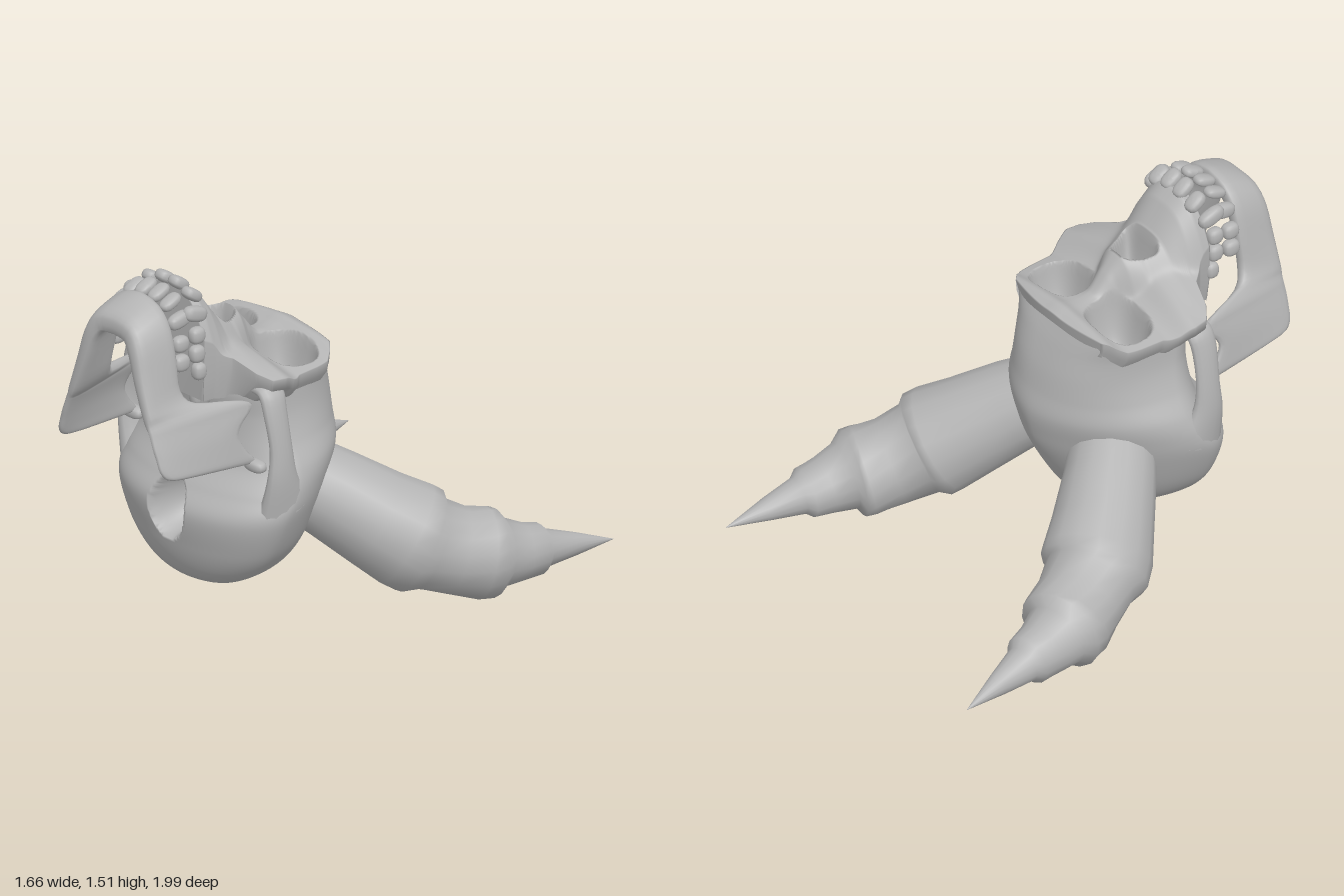
import * as THREE from 'three';

const bone = new THREE.MeshStandardMaterial({ color: 0xb4b4b4, side: THREE.DoubleSide });
bone.name = 'bone grey';

const { smoothstep, lerp } = THREE.MathUtils;

// Surface through rows of [x, y, z] points; closed joins the last column to the first
function skin(rows, closed) {
  const n = rows[0].length, index = [], cols = closed ? n : n - 1;
  for (let i = 0; i < rows.length - 1; i++) {
    for (let j = 0; j < cols; j++) {
      const a = i * n + j, b = i * n + (j + 1) % n;
      index.push(a, b, a + n, b, b + n, a + n);
    }
  }
  const g = new THREE.BufferGeometry();
  g.setAttribute('position', new THREE.Float32BufferAttribute(rows.flat(2), 3));
  g.setIndex(index);
  g.computeVertexNormals();
  return g;
}

// Smooth in-between rows for a short table of numbers
function refine(table, steps) {
  const out = [], at = i => table[Math.max(0, Math.min(table.length - 1, i))];
  for (let i = 0; i < table.length - 1; i++) {
    for (let s = 0; s < steps; s++) {
      const t = s / steps;
      out.push(table[i].map((p, k) => {
        const o = at(i - 1)[k], q = at(i + 1)[k], r = at(i + 2)[k];
        return p + 0.5 * t * (q - o + t * (2 * o - 5 * p + 4 * q - r + t * (3 * (p - q) + r - o)));
      }));
    }
  }
  out.push(table[table.length - 1]);
  return out;
}

// Linear lookup in a table of [key, value]
function lookup(table, k) {
  let i = 0;
  while (i < table.length - 2 && k > table[i + 1][0]) i++;
  const [a, b] = [table[i], table[i + 1]];
  return lerp(a[1], b[1], Math.min(1, Math.max(0, (k - a[0]) / (b[0] - a[0]))));
}

const ring = (n, f) => Array.from({ length: n }, (_, j) => f(j / n * Math.PI * 2));
const spow = (v, e) => Math.sign(v) * Math.abs(v) ** e;
// Bowl with a crisp rim at r = 1
const bowl = r => Math.max(0, 1 - r ** 4);

// Braincase: sections along y as [y, back z, base z, half width, roundness of the back]
function craniumGeometry() {
  const sections = refine([
    [0.14, 0.45, 0.45, 0, 2], [0.155, 0.31, 0.54, 0.13, 2], [0.19, 0.19, 0.6, 0.22, 2],
    [0.25, 0.10, 0.64, 0.31, 1.9], [0.35, 0.03, 0.67, 0.39, 1.75], [0.5, -0.05, 0.69, 0.452, 1.65],
    [0.6, -0.083, 0.635, 0.46, 1.65], [0.7, -0.095, 0.565, 0.435, 1.8], [0.8, -0.072, 0.55, 0.38, 2.1],
    [0.9, -0.045, 0.55, 0.345, 2.5], [1.0, -0.005, 0.56, 0.333, 3.1], [1.07, 0.03, 0.54, 0.333, 4],
  ], 12);
  return skin(sections.map(([y, z0, z1, w, e]) => ring(150, t => {
    const a = t - 0.6 * Math.sin(t), s = Math.sin(a), c = Math.cos(a);
    const mid = lerp(z0, z1, 0.68);
    const x = w * (c < 0 ? spow(s, 2 / e) : s);
    const z = mid + (c < 0 ? (mid - z0) * spow(c, 2 / e) : (z1 - mid) * c);
    // opening for the spine
    return [x, y, c > 0 ? z - 0.2 * bowl(Math.hypot(x / 0.1, (y - 0.49) / 0.127)) : z];
  })), true);
}

// Face: a relief over x and z with eye sockets and nose opening, wrapped round its edge
function faceGeometry() {
  const halfWidth = [[0.02, 0.27], [0.05, 0.315], [0.1, 0.345], [0.2, 0.355], [0.3, 0.36], [0.36, 0.395],
    [0.42, 0.415], [0.48, 0.405], [0.52, 0.35], [0.55, 0.25], [0.6, 0.21], [0.66, 0.195]];
  const midline = [[0.16, 1.06], [0.22, 1.11], [0.28, 1.19], [0.345, 1.265], [0.42, 1.27],
    [0.5, 1.31], [0.57, 1.41], [0.62, 1.455], [0.66, 1.45]];
  const muzzleWidth = [[0.2, 0.07], [0.3, 0.1], [0.4, 0.18], [0.5, 0.215], [0.66, 0.212]];
  const height = (x, z) => {
    const ax = Math.abs(x);
    const plate = 1.11 - 0.35 * x * x + 0.025 * Math.exp(-(((z - 0.07) / 0.04) ** 2))
      + 0.055 * smoothstep(z, 0.31, 0.43) + 0.2 * smoothstep(z, 0.36, 0.5) * Math.max(0, 0.4 - ax);
    const muzzle = lookup(midline, z) - 0.24 * (ax / lookup(muzzleWidth, z)) ** 2.8;
    const d = plate - muzzle;
    const y = (plate + muzzle + Math.sqrt(d * d + 0.0012)) / 2;
    const eye = (Math.abs((ax - 0.178) / 0.135) ** 2.5 + Math.abs((z - 0.215) / 0.113) ** 2.5) ** 0.4;
    const noseWidth = 0.05 + Math.max(0, z - 0.35) * 0.45;
    const nose = ((ax / noseWidth) ** 4 + Math.abs((z - 0.42) / 0.073) ** 4) ** 0.25;
    return y - 0.22 * bowl(eye) - 0.2 * bowl(nose);
  };
  const rows = [], nz = 100, nx = 130;
  for (let i = 0; i <= nz; i++) {
    const z = 0.02 + 0.64 * i / nz, w = lookup(halfWidth, z), m = smoothstep(z, 0.5, 0.57);
    // brow line sweeps back toward the temples
    const sweep = x => z + 0.5 * x * x * (1 - smoothstep(z, 0.02, 0.2));
    const edge = height(w, sweep(w)), low = lerp(edge - 0.12, 1.0, m);
    const inset = lerp(lerp(0.82, 0.74, smoothstep(z, 0.3, 0.42)), 0.9, m);
    const side = s => [[s * w * inset, low, sweep(w)], [s * w * 0.98, lerp(edge - 0.045, 1.1, m), sweep(w)]];
    const row = side(-1);
    for (let j = 0; j <= nx; j++) {
      const x = w * (2 * j / nx - 1);
      row.push([x, height(x, sweep(x)), sweep(x)]);
    }
    rows.push([...row, ...side(1).reverse()]);
  }
  // brow top and palate close the ends
  rows.unshift(rows[0].map(([x, , z]) => [x * 0.95, 0.97, z + 0.03]));
  rows.push(rows[nz + 1].map(([x, , z]) => [x * 0.95, 1.0, z - 0.01]));
  return skin(rows, false);
}

// Lower jaw: stations from chin to hinge, [lower x, y, z, upper x, y, z, half thickness]
function jawGeometry() {
  const half = refine([
    [0, 1.355, 0.97, 0, 1.43, 0.8, 0.048], [0.08, 1.345, 0.975, 0.08, 1.41, 0.8, 0.047],
    [0.125, 1.285, 0.985, 0.14, 1.345, 0.8, 0.04], [0.16, 1.18, 0.99, 0.175, 1.22, 0.8, 0.035],
    [0.2, 1.07, 0.992, 0.2, 1.1, 0.8, 0.03], [0.222, 1.015, 0.992, 0.24, 1.04, 0.75, 0.027],
    [0.235, 0.985, 0.992, 0.305, 1.015, 0.56, 0.021], [0.245, 0.96, 0.992, 0.32, 0.985, 0.52, 0.019],
    [0.26, 0.92, 0.992, 0.325, 0.93, 0.58, 0.018], [0.275, 0.88, 0.988, 0.33, 0.88, 0.6, 0.018],
    [0.292, 0.83, 0.983, 0.338, 0.82, 0.57, 0.018], [0.305, 0.795, 0.955, 0.343, 0.775, 0.53, 0.018],
    [0.31, 0.782, 0.9, 0.343, 0.755, 0.52, 0.011],
  ], 3);
  const flip = s => [-s[0], s[1], s[2], -s[3], s[4], s[5], s[6]];
  const path = [...half.slice(1).reverse().map(flip), ...half];
  const rows = path.map((s, i) => {
    const p = path[Math.max(0, i - 1)], q = path[Math.min(path.length - 1, i + 1)];
    const tx = q[0] + q[3] - p[0] - p[3], ty = q[1] + q[4] - p[1] - p[4], l = Math.hypot(tx, ty);
    const normal = [-ty / l, tx / l, 0];
    return ring(20, a => [0, 1, 2].map(k => (s[k] + s[k + 3]) / 2
      + (s[k + 3] - s[k]) / 2 * spow(Math.cos(a), 0.6) + normal[k] * s[6] * spow(Math.sin(a), 0.6)));
  });
  const cap = r => r.map(() => [0, 1, 2].map(k => r.reduce((t, p) => t + p[k], 0) / r.length));
  return skin([cap(rows[0]), ...rows, cap(rows[rows.length - 1])], true);
}

// Round tube through stations [x, y, z, radius], with a flattening factor across
function taperedTube(stations, sides, flat = 1) {
  const pts = stations.map(s => new THREE.Vector3(s[0], s[1], s[2]));
  return skin(stations.map((s, i) => {
    const t = pts[Math.min(pts.length - 1, i + 1)].clone().sub(pts[Math.max(0, i - 1)]).normalize();
    const u = new THREE.Vector3(0, 0, 1).addScaledVector(t, -t.z).normalize();
    const v = t.clone().cross(u);
    return ring(sides, a => pts[i].clone().addScaledVector(u, s[3] * Math.cos(a))
      .addScaledVector(v, s[3] * flat * Math.sin(a)).toArray());
  }), true);
}

// Rounded, slightly boxy tooth of unit size
function toothGeometry() {
  const g = new THREE.SphereGeometry(1, 14, 10), p = g.attributes.position;
  for (let i = 0; i < p.count; i++) {
    p.setXYZ(i, spow(p.getX(i), 0.75), spow(p.getY(i), 0.75), spow(p.getZ(i), 0.75));
  }
  g.computeVertexNormals();
  return g;
}

export function createModel() {
  const model = new THREE.Group();
  model.name = 'hornedSkull';
  const add = (name, geometry, parent = model) => {
    const mesh = new THREE.Mesh(geometry, bone);
    mesh.name = name;
    parent.add(mesh);
    return mesh;
  };
  add('cranium', craniumGeometry());
  add('face', faceGeometry());
  add('lowerJaw', jawGeometry());

  // Ringed horn, stepping in after each ridge
  const horn = taperedTube([
    [0.17, 0.57, 0.2, 0.165], [0.3, 0.475, 0.08, 0.183], [0.42, 0.365, -0.05, 0.203],
    [0.5, 0.295, -0.14, 0.22], [0.53, 0.265, -0.18, 0.22], [0.545, 0.25, -0.21, 0.19],
    [0.595, 0.205, -0.31, 0.178], [0.645, 0.177, -0.41, 0.184], [0.66, 0.172, -0.45, 0.18],
    [0.67, 0.167, -0.48, 0.14], [0.69, 0.15, -0.57, 0.117], [0.705, 0.142, -0.65, 0.105],
    [0.71, 0.138, -0.68, 0.078], [0.735, 0.12, -0.82, 0.047], [0.765, 0.095, -1, 0.001],
  ], 16);
  const arch = taperedTube(refine([
    [0.31, 1.05, 0.465, 0.05], [0.37, 1.045, 0.465, 0.06], [0.402, 0.97, 0.47, 0.057],
    [0.43, 0.82, 0.465, 0.055], [0.43, 0.69, 0.46, 0.075], [0.4, 0.55, 0.43, 0.12],
  ], 4), 14, 0.5);

  // Teeth: [x, y, z, half width, half depth, half height, lean]
  const upperTeeth = [[0.038, 1.465, 0.65, 0.034, 0.025, 0.047, -0.6], [0.113, 1.44, 0.65, 0.034, 0.025, 0.047, -0.6],
    [0.17, 1.385, 0.685, 0.028, 0.032, 0.06, -0.3], [0.186, 1.3, 0.69, 0.028, 0.035, 0.035, 0],
    [0.186, 1.22, 0.69, 0.028, 0.036, 0.034, 0], [0.182, 1.14, 0.675, 0.028, 0.036, 0.03, 0]];
  const lowerTeeth = [[0.037, 1.455, 0.755, 0.032, 0.022, 0.05, 0.4], [0.103, 1.435, 0.755, 0.031, 0.022, 0.05, 0.4],
    [0.155, 1.375, 0.755, 0.028, 0.031, 0.056, 0.2], [0.18, 1.285, 0.772, 0.028, 0.034, 0.037, 0],
    [0.184, 1.205, 0.772, 0.028, 0.035, 0.037, 0]];
  const toothShape = toothGeometry();

  for (const side of ['left', 'right']) {
    const half = new THREE.Group();
    half.name = side + 'Half';
    half.scale.x = side === 'left' ? 1 : -1;
    model.add(half);
    add(side + 'Horn', horn, half);
    add(side + 'CheekArch', arch, half);
    const blob = (name, [x, y, z, w, d, h, lean]) => {
      const mesh = add(side + name, toothShape, half);
      mesh.position.set(x, y, z);
      mesh.scale.set(w, d, h);
      mesh.rotation.x = lean;
    };
    upperTeeth.forEach(t => blob('UpperTooth', t));
    lowerTeeth.forEach(t => blob('LowerTooth', t));
    blob('JawHinge', [0.352, 0.745, 0.53, 0.053, 0.025, 0.03, 0]);
    blob('PalateWing', [0.085, 0.99, 0.57, 0.03, 0.06, 0.06, 0]);
  }
  return model;
}
